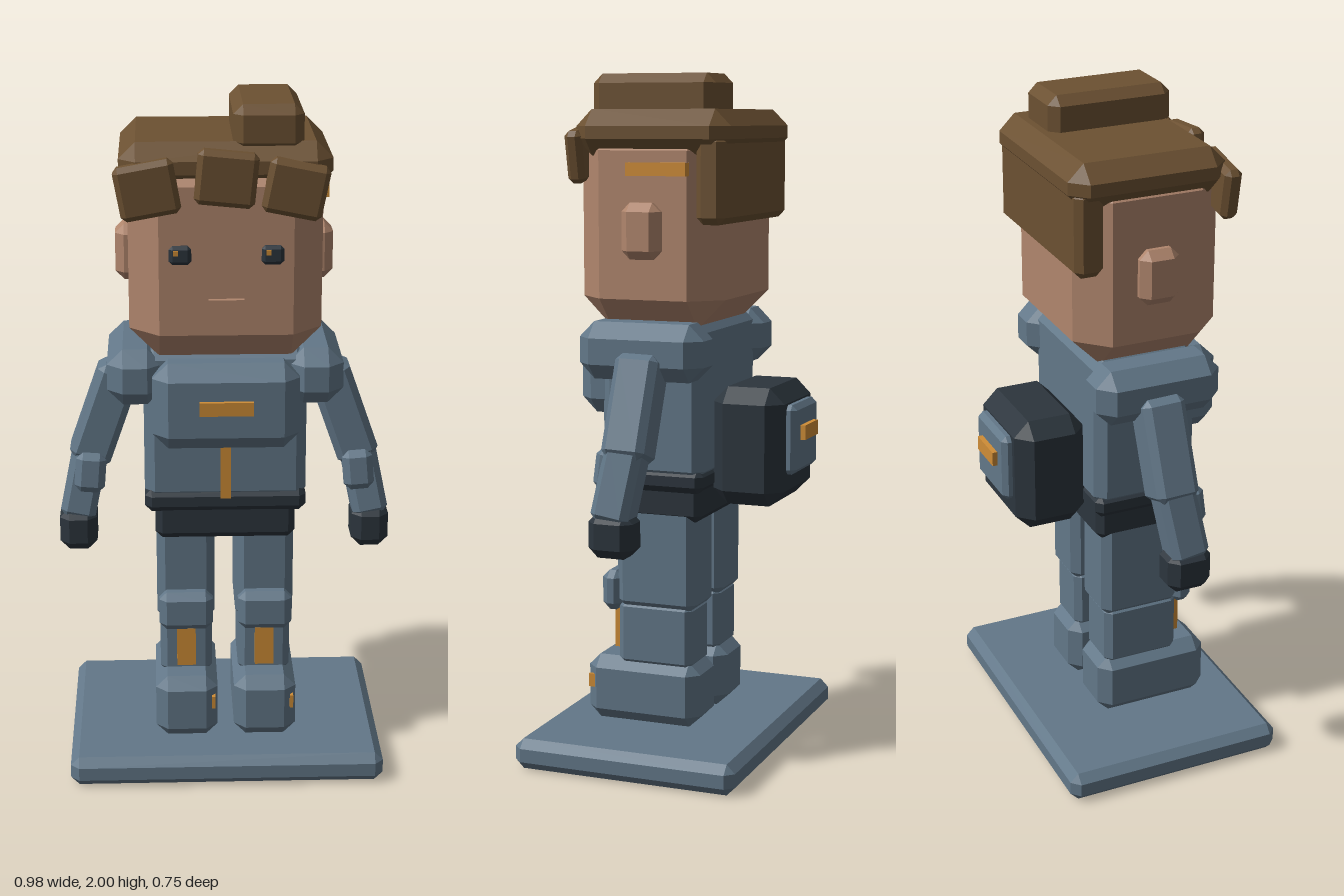
import * as THREE from 'three';
import { ConvexGeometry } from 'three/addons/geometries/ConvexGeometry.js';

const mat = (name, color) => {
  const m = new THREE.MeshStandardMaterial({ color });
  m.name = name;
  return m;
};

// Box with bevelled edges: 24 corner points, three per corner
function bevelBox(w, h, d, bevel) {
  const b = Math.min(bevel, w * 0.4, h * 0.4, d * 0.4);
  const pts = [];
  for (const sx of [-1, 1]) for (const sy of [-1, 1]) for (const sz of [-1, 1]) {
    const x = w / 2, y = h / 2, z = d / 2;
    pts.push(
      new THREE.Vector3(sx * x, sy * (y - b), sz * (z - b)),
      new THREE.Vector3(sx * (x - b), sy * y, sz * (z - b)),
      new THREE.Vector3(sx * (x - b), sy * (y - b), sz * z)
    );
  }
  return new ConvexGeometry(pts);
}

export function createModel() {
  const cloth = mat('slate cloth', 0x627788);
  const dark = mat('charcoal', 0x2c353d);
  const skin = mat('skin', 0xb0866d);
  const hair = mat('brown hair', 0x6c5132);
  const amber = mat('amber trim', 0xcf8d36);

  const model = new THREE.Group();
  model.name = 'figure';

  // Part centred at a point, with optional rotation
  function part(parent, name, material, size, pos, bevel = 0.02, rot = [0, 0, 0]) {
    const geo = bevel > 0 ? bevelBox(...size, bevel) : new THREE.BoxGeometry(...size);
    const mesh = new THREE.Mesh(geo, material);
    mesh.name = name;
    mesh.position.set(...pos);
    mesh.rotation.set(...rot);
    parent.add(mesh);
    return mesh;
  }
  // Part given by its extents on each axis
  function span(parent, name, material, [x0, x1], [y0, y1], [z0, z1], bevel) {
    return part(parent, name, material, [x1 - x0, y1 - y0, z1 - z0],
      [(x0 + x1) / 2, (y0 + y1) / 2, (z0 + z1) / 2], bevel);
  }
  function group(name) {
    const g = new THREE.Group();
    g.name = name;
    model.add(g);
    return g;
  }

  // Base
  span(model, 'base', cloth, [-0.465, 0.465], [0, 0.09], [-0.305, 0.375], 0.025);

  // Torso
  const torso = group('torso');
  span(torso, 'jacket', cloth, [-0.235, 0.235], [0.84, 1.3], [-0.125, 0.19], 0.03);
  span(torso, 'chestPanel', cloth, [-0.21, 0.21], [1.02, 1.275], [0.14, 0.275], 0.045);
  span(torso, 'chestStripe', amber, [-0.077, 0.077], [1.135, 1.175], [0.27, 0.288], 0);
  span(torso, 'zip', amber, [-0.015, 0.015], [0.855, 1.02], [0.185, 0.21], 0);
  span(torso, 'belt', dark, [-0.235, 0.235], [0.805, 0.875], [-0.125, 0.197], 0.02);
  span(torso, 'hips', dark, [-0.205, 0.205], [0.715, 0.83], [-0.11, 0.18], 0.02);

  // Legs and arms, mirrored
  for (const s of [-1, 1]) {
    const side = s > 0 ? 'left' : 'right';
    const leg = group(side + 'Leg');
    const x = s * 0.117;
    part(leg, 'thigh', cloth, [0.172, 0.33, 0.25], [x, 0.605, 0.035], 0.025);
    part(leg, 'shin', cloth, [0.155, 0.2, 0.235], [x, 0.365, 0.04], 0.02);
    part(leg, 'kneePad', cloth, [0.16, 0.12, 0.065], [x, 0.488, 0.178], 0.022);
    part(leg, 'shinStripe', amber, [0.056, 0.12, 0.018], [x, 0.366, 0.176], 0);
    part(leg, 'boot', cloth, [0.185, 0.195, 0.355], [x, 0.19, 0.078], 0.035);
    part(leg, 'bootTab', amber, [0.01, 0.04, 0.02], [x + 0.08, 0.21, 0.238], 0);

    const arm = group(side + 'Arm');
    part(arm, 'shoulder', cloth, [0.16, 0.165, 0.38], [s * 0.258, 1.22, 0.035], 0.045);
    part(arm, 'upperArm', cloth, [0.125, 0.3, 0.13], [s * 0.352, 1.065, 0.03], 0.02, [-0.03, 0, s * 0.34]);
    part(arm, 'forearm', cloth, [0.105, 0.24, 0.115], [s * 0.414, 0.865, 0.048], 0.02, [-0.15, 0, s * 0.2]);
    part(arm, 'elbowPad', cloth, [0.09, 0.12, 0.05], [s * 0.395, 0.9, 0.1], 0.02, [-0.1, 0, s * 0.08]);
    part(arm, 'hand', dark, [0.11, 0.13, 0.135], [s * 0.434, 0.72, 0.06], 0.028);
  }

  // Head and face
  const head = group('head');
  span(head, 'face', skin, [-0.272, 0.272], [1.28, 1.87], [-0.18, 0.258], 0.085);
  for (const s of [-1, 1]) {
    part(head, 'ear', skin, [0.07, 0.16, 0.118], [s * 0.275, 1.56, 0.038], 0.025);
    part(head, 'eye', dark, [0.062, 0.054, 0.025], [s * 0.128, 1.596, 0.259], 0.01);
    part(head, 'eyeGlint', amber, [0.014, 0.014, 0.006], [s * 0.128 - 0.012, 1.605, 0.273], 0);
  }
  part(head, 'mouth', skin, [0.1, 0.016, 0.018], [0, 1.463, 0.265], 0);

  // Hair
  const hairGroup = group('hair');
  span(hairGroup, 'cap', hair, [-0.295, 0.295], [1.77, 1.9], [-0.217, 0.25], 0.047);
  span(hairGroup, 'backHair', hair, [-0.28, 0.28], [1.58, 1.83], [-0.205, -0.12], 0.02);
  span(hairGroup, 'topTuft', hair, [0.02, 0.215], [1.87, 2], [-0.15, 0.222], 0.027);
  for (const [x, y, tilt] of [[-0.217, 1.778, 0.18], [0, 1.808, -0.1], [0.19, 1.778, -0.2]]) {
    part(hairGroup, 'fringe', hair, [0.168, 0.152, 0.053], [x, y, 0.252], 0.015, [0, 0, tilt]);
  }
  span(hairGroup, 'hairClip', amber, [0.265, 0.297], [1.715, 1.752], [-0.1, 0.08], 0);

  // Backpack
  const pack = group('backpack');
  span(pack, 'bag', dark, [-0.168, 0.168], [0.765, 1.11], [-0.337, -0.12], 0.045);
  span(pack, 'pocket', cloth, [-0.107, 0.107], [0.857, 1.06], [-0.365, -0.32], 0.015);
  span(pack, 'pocketStripe', amber, [-0.06, 0.06], [0.955, 0.998], [-0.38, -0.36], 0);

  return model;
}
